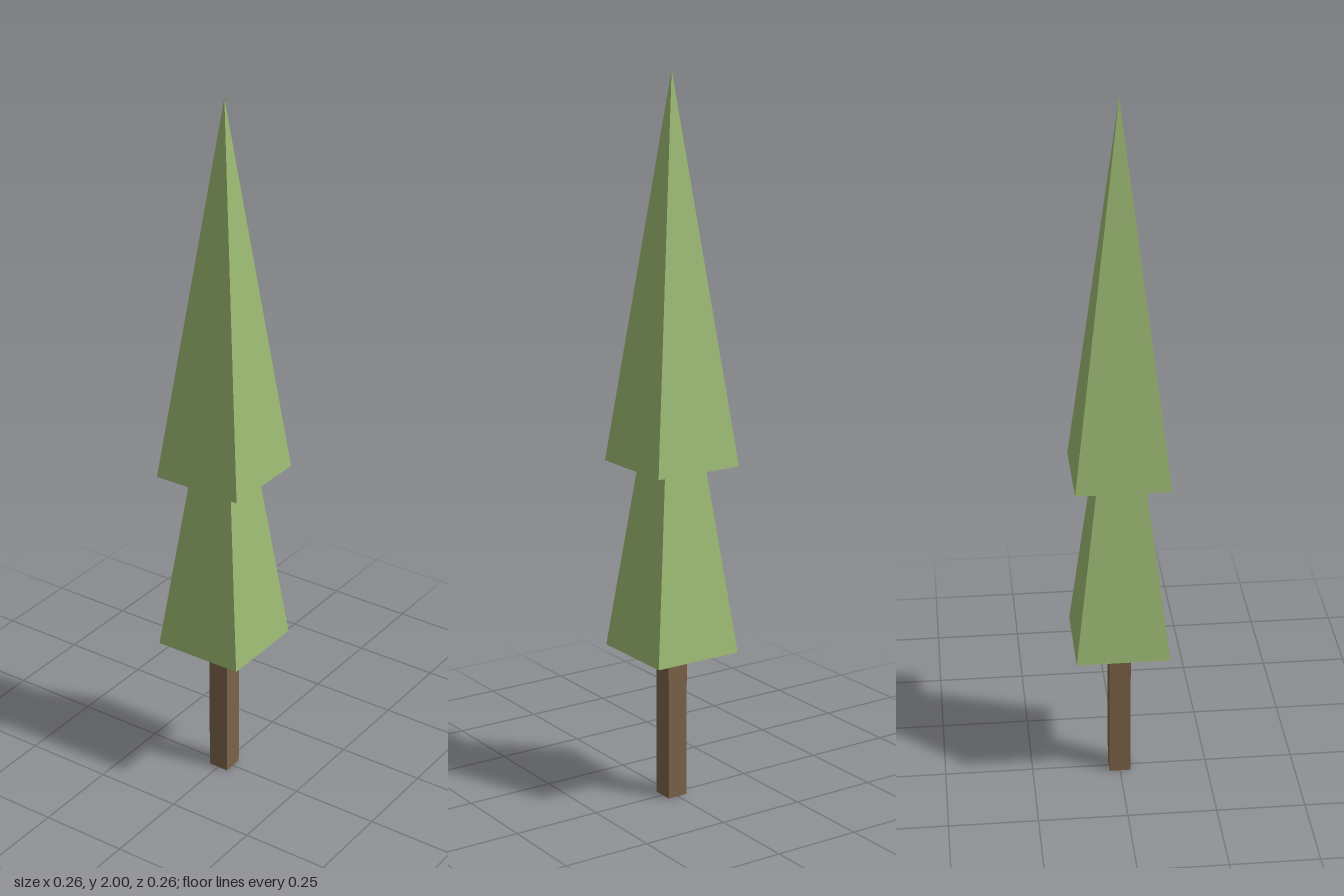
import * as THREE from 'three';

export function createModel() {
  const tree = new THREE.Group();
  tree.name = 'tree';

  const foliage = new THREE.MeshStandardMaterial({ color: 0x9cba73 });
  foliage.name = 'leaf green';
  foliage.flatShading = true;
  const bark = new THREE.MeshStandardMaterial({ color: 0x7b6348 });
  bark.name = 'bark brown';

  // Square trunk, reaching slightly into the foliage
  const trunkHeight = 0.44;
  const trunk = new THREE.Mesh(new THREE.BoxGeometry(0.06, trunkHeight, 0.06), bark);
  trunk.name = 'trunk';
  trunk.position.y = trunkHeight / 2;
  tree.add(trunk);

  // Two identical four-sided pyramids, the upper one overlapping the lower
  const height = 1.05;
  const halfWidth = 0.13;
  const pyramid = new THREE.ConeGeometry(halfWidth * Math.SQRT2, height, 4, 1, false, Math.PI / 4);
  for (const [name, base] of [['lowerFoliage', 0.425], ['upperFoliage', 0.95]]) {
    const tier = new THREE.Mesh(pyramid, foliage);
    tier.name = name;
    tier.position.y = base + height / 2;
    tree.add(tier);
  }

  return tree;
}
